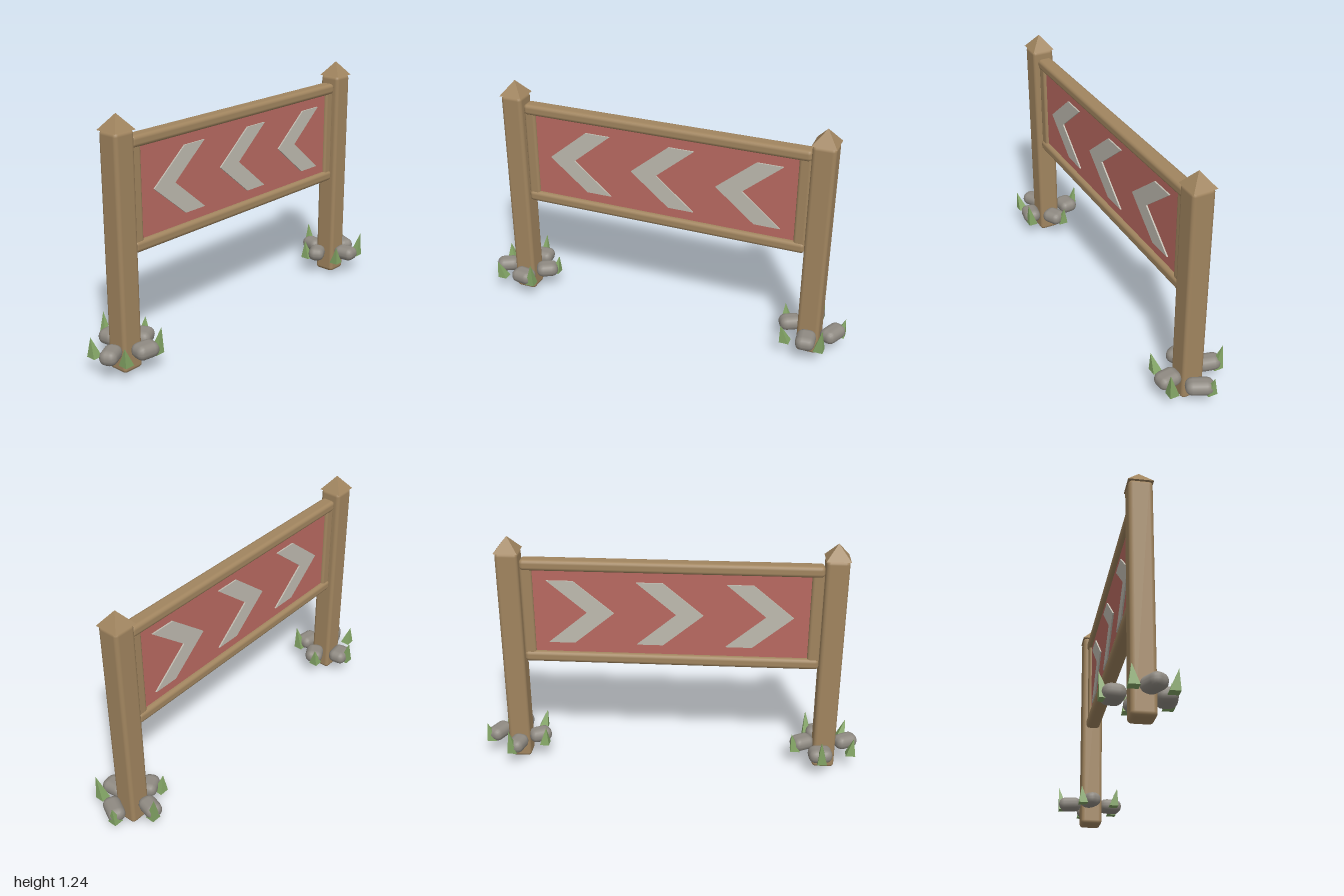
import * as THREE from 'three';
import { RoundedBoxGeometry } from 'three/addons/geometries/RoundedBoxGeometry.js';

const material = (name, color, flatShading = false) => {
  const m = new THREE.MeshStandardMaterial({ color, flatShading });
  m.name = name;
  return m;
};

export function createModel() {
  const model = new THREE.Group();
  model.name = 'chevronSign';
  const wood = material('wood', 0xa1855f);
  const woodFlat = wood.clone(); // same colour, faceted
  woodFlat.flatShading = true;
  const red = material('red board', 0xb96a61);
  const pale = material('pale paint', 0xbfbbb0);
  const rock = material('stone', 0x8f8a82);
  const green = material('grass', 0x83a565, true);

  const add = (parent, name, geometry, mat, x = 0, y = 0, z = 0) => {
    const mesh = new THREE.Mesh(geometry, mat);
    mesh.name = name;
    mesh.position.set(x, y, z);
    parent.add(mesh);
    return mesh;
  };
  const box = (w, h, d, r) => new RoundedBoxGeometry(w, h, d, 2, r);

  // Square pyramid on y = 0 with its tip shifted sideways
  const pyramid = (width, height, tipX = 0, tipZ = 0) => {
    const g = new THREE.ConeGeometry(width / Math.SQRT2, height, 4);
    g.rotateY(Math.PI / 4);
    g.translate(0, height / 2, 0);
    const p = g.attributes.position;
    for (let i = 0; i < p.count; i++) {
      const t = p.getY(i) / height;
      p.setX(i, p.getX(i) + tipX * t);
      p.setZ(i, p.getZ(i) + tipZ * t);
    }
    g.computeVertexNormals();
    return g;
  };

  // Stones per post: offset x, offset z, width, depth, turn
  const stones = {
    '-1': [
      [0.025, -0.12, 0.125, 0.105, 0.1],
      [-0.118, 0.03, 0.125, 0.09, 0.5],
      [0.025, 0.112, 0.125, 0.1, -0.15],
      [0.115, 0, 0.12, 0.1, 0.5],
    ],
    '1': [
      [-0.005, -0.12, 0.09, 0.125, -0.25],
      [0.12, 0.005, 0.09, 0.14, -0.45],
      [0.005, 0.112, 0.1, 0.125, 0.1],
      [-0.108, -0.015, 0.12, 0.09, 0.5],
    ],
  };
  // Grass tufts: offset x, offset z, height, tip lean x, tip lean z
  const tufts = [
    [-0.14, -0.06, 0.1, -0.012, -0.01],
    [0.016, -0.157, 0.135, 0.01, -0.024],
    [0.152, -0.035, 0.1, 0.022, -0.008],
    [-0.1, 0.117, 0.1, -0.024, 0.018],
    [0.08, 0.13, 0.135, 0.014, 0.022],
  ];

  // Posts with caps, stones and grass
  for (const side of [-1, 1]) {
    const post = new THREE.Group();
    post.name = side > 0 ? 'leftPost' : 'rightPost';
    post.position.x = side * 0.82;
    model.add(post);
    add(post, 'postShaft', box(0.116, 1.17, 0.116, 0.02), wood, 0, 0.585, 0);
    add(post, 'postCap', pyramid(0.122, 0.076), woodFlat, 0, 1.168, 0);
    for (const [x, z, w, d, turn] of stones[side]) {
      add(post, 'stone', box(w, 0.076, d, 0.036), rock, x, 0.12, z).rotation.y = turn;
    }
    for (const [x, z, h, tx, tz] of tufts) {
      add(post, 'grassTuft', pyramid(0.05, h, tx, tz), green, x, 0.09, z);
    }
    // Upright of the board frame
    add(model, 'frameUpright', box(0.062, 0.49, 0.062, 0.015), wood, side * 0.732, 0.85, 0);
  }

  // Rails of the board frame
  add(model, 'topRail', box(1.525, 0.058, 0.078, 0.02), wood, 0, 1.102, 0);
  add(model, 'bottomRail', box(1.525, 0.058, 0.078, 0.02), wood, 0, 0.599, 0);

  // Board
  add(model, 'board', new THREE.BoxGeometry(1.42, 0.47, 0.032), red, 0, 0.85, 0);

  // Arrows, thin plates on both faces
  const arrow = new THREE.Shape([
    [0, 0], [0.205, 0.17], [0.34, 0.17], [0.137, 0], [0.34, -0.17], [0.205, -0.17],
  ].map(([x, y]) => new THREE.Vector2(x, y)));
  const plate = new THREE.ExtrudeGeometry(arrow, { depth: 0.008, bevelEnabled: false });
  for (let i = 0; i < 3; i++) {
    const x = -0.622 + i * 0.456;
    add(model, 'frontArrow', plate, pale, x, 0.85, 0.0155);
    add(model, 'backArrow', plate, pale, x, 0.85, -0.0235);
  }
  return model;
}
